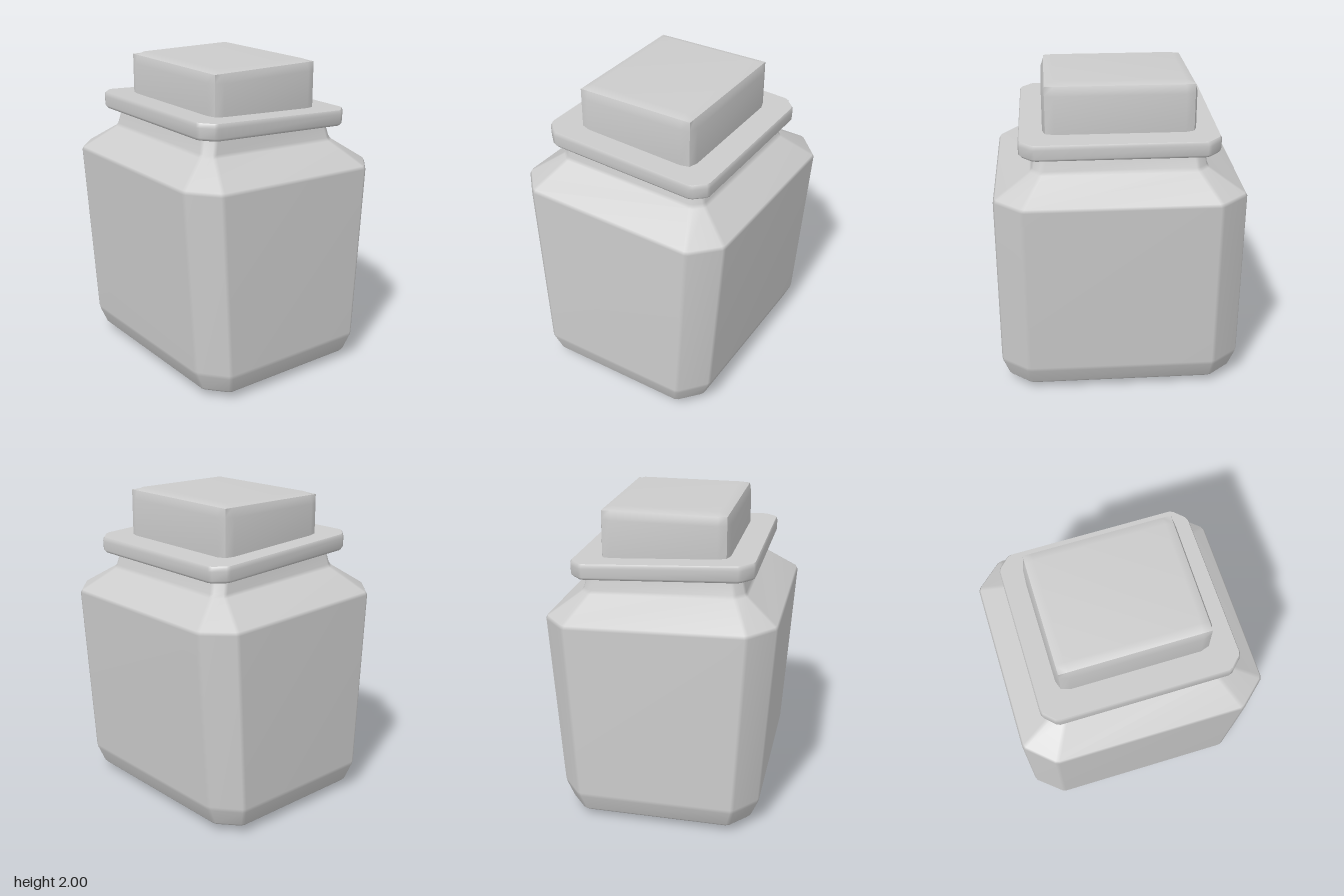
import * as THREE from 'three';

const material = new THREE.MeshStandardMaterial({ color: 0xcccccc });
const SOFT = 0.014; // width of the narrow bevel that softens edges

// Point a short way from a towards b
const nudge = (a, b) => a.clone().lerp(b, Math.min(0.3, SOFT / a.distanceTo(b)));

// Rectangle with cut corners; y leans along x by the given tilt
function ring([y, hx, hz, cx, cz, tilt]) {
  const fx = hx - cx, fz = hz - cz;
  const corners = [
    [hx, fz], [fx, hz], [-fx, hz], [-hx, fz],
    [-hx, -fz], [-fx, -hz], [fx, -hz], [hx, -fz],
  ].map(([x, z]) => new THREE.Vector3(x, y + tilt * x, z));
  const n = corners.length;
  return corners.flatMap((p, i) => [
    nudge(p, corners[(i + n - 1) % n]),
    nudge(p, corners[(i + 1) % n]),
  ]);
}

// Skin through the rings, inner rings doubled into narrow bevels, flat caps
function loft(rows) {
  const base = rows.map(ring);
  const rings = base.flatMap((r, j) => {
    if (j === 0 || j === base.length - 1) return [r];
    return [base[j - 1], base[j + 1]].map((o) => r.map((p, i) => nudge(p, o[i])));
  });
  const n = rings[0].length;
  const pos = rings.flat().flatMap((p) => p.toArray());
  const index = [];
  for (let j = 0; j < rings.length - 1; j++) {
    for (let i = 0; i < n; i++) {
      const a = j * n + i, b = j * n + ((i + 1) % n);
      index.push(a, a + n, b, b, a + n, b + n);
    }
  }
  // Caps have their own vertices so their rims stay crisp
  [rings[0], rings[rings.length - 1]].forEach((r, top) => {
    const start = pos.length / 3;
    r.forEach((p) => pos.push(...p.toArray()));
    for (let i = 1; i < n - 1; i++) {
      if (top) index.push(start, start + i + 1, start + i);
      else index.push(start, start + i, start + i + 1);
    }
  });
  const geo = new THREE.BufferGeometry();
  geo.setAttribute('position', new THREE.Float32BufferAttribute(pos, 3));
  geo.setIndex(index);
  geo.computeVertexNormals();
  return geo;
}

// Box whose faces swell slightly just inside their crisp edges
function pillowBox(w, h, d, inset, bulge) {
  const geo = new THREE.BoxGeometry(w, h, d, 3, 3, 3);
  const p = geo.attributes.position;
  const half = [w / 2, h / 2, d / 2];
  for (let i = 0; i < p.count; i++) {
    const v = [p.getX(i), p.getY(i), p.getZ(i)];
    const onEdge = v.map((c, k) => Math.abs(c) > half[k] - 1e-4);
    const sides = onEdge.filter(Boolean).length;
    const moved = v.map((c, k) => {
      if (!onEdge[k]) return Math.sign(c) * (half[k] - inset);
      return sides === 1 ? c + Math.sign(c) * bulge : c;
    });
    p.setXYZ(i, ...moved);
  }
  geo.computeVertexNormals();
  return geo;
}

export function createModel() {
  const group = new THREE.Group();
  const add = (name, geo) => {
    const mesh = new THREE.Mesh(geo, material);
    mesh.name = name;
    group.add(mesh);
    return mesh;
  };

  // Rows: y, half width, half depth, corner cut in x, corner cut in z, tilt
  add('jarBody', loft([
    [0, 0.44, 0.56, 0.06, 0.06, 0],
    [0, 0.48, 0.6, 0.07, 0.07, 0],
    [0.05, 0.59, 0.73, 0.12, 0.14, 0],
    [0.18, 0.645, 0.775, 0.145, 0.175, 0],
    [1.35, 0.72, 0.775, 0.16, 0.175, -0.028],
    [1.5, 0.51, 0.54, 0.06, 0.06, -0.038],
    [1.62, 0.48, 0.52, 0.06, 0.06, -0.05],
  ]));

  // Crooked plate resting on the neck
  add('lidPlate', loft([
    [1.592, 0.5, 0.54, 0.06, 0.06, -0.045],
    [1.61, 0.568, 0.612, 0.08, 0.08, -0.05],
    [1.695, 0.57, 0.615, 0.08, 0.08, -0.053],
    [1.71, 0.563, 0.608, 0.08, 0.08, -0.053],
  ]));

  // Block handle on top of the plate
  add('lidHandle', pillowBox(0.766, 0.36, 0.91, 0.055, 0.018))
    .position.set(0, 1.802, -0.006);

  return group;
}
